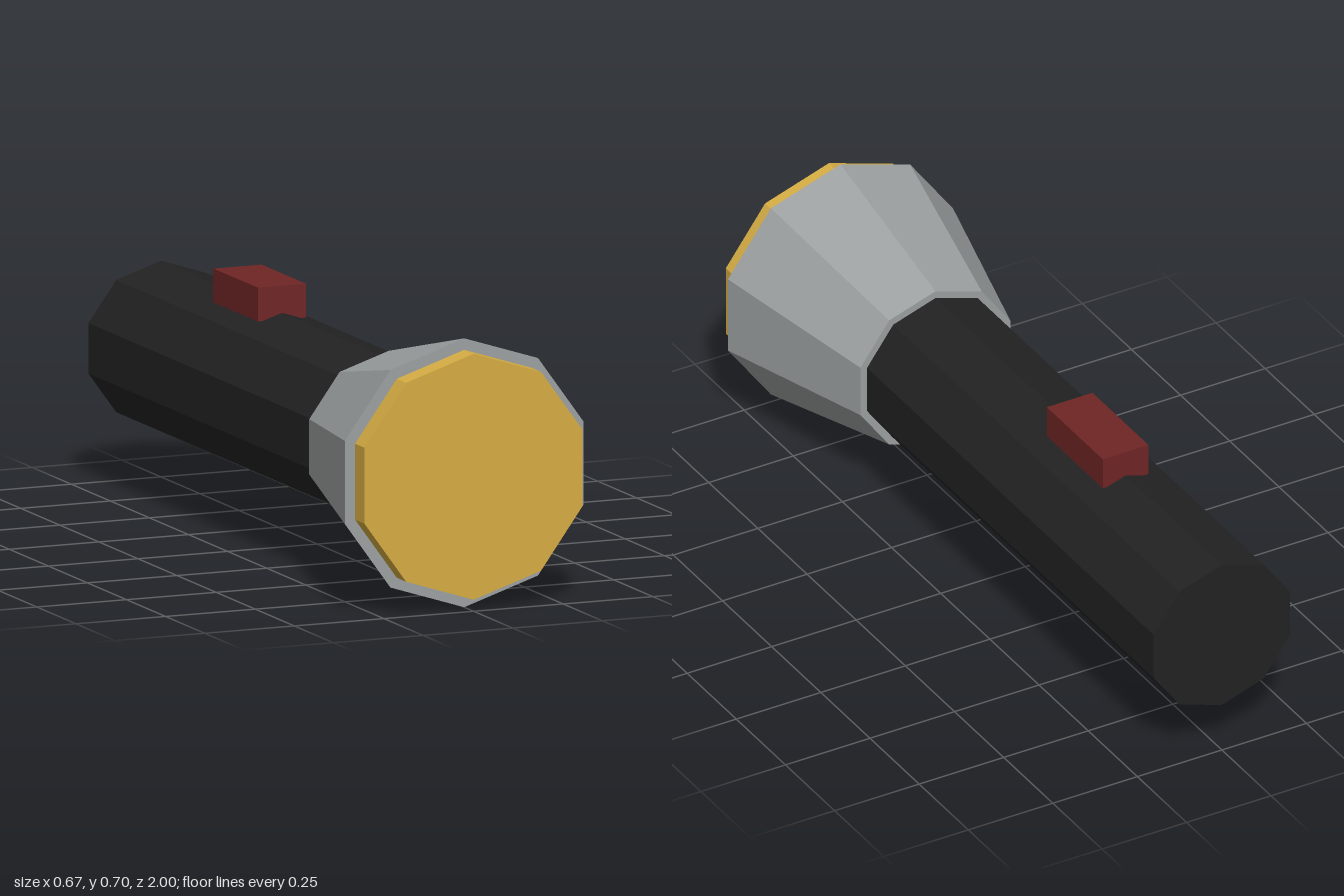
import * as THREE from 'three';

const SIDES = 10;
const AXIS_Y = 0.35;

function material(name, color) {
  const m = new THREE.MeshStandardMaterial({ color, flatShading: true });
  m.name = name;
  return m;
}

// Ten-sided section lying along z, with a ridge at the top
function section(name, rBack, rFront, zBack, zFront, mat) {
  const geo = new THREE.CylinderGeometry(rFront, rBack, zFront - zBack, SIDES);
  geo.rotateX(Math.PI / 2);
  const mesh = new THREE.Mesh(geo, mat);
  mesh.name = name;
  mesh.position.set(0, AXIS_Y, (zBack + zFront) / 2);
  return mesh;
}

export function createModel() {
  const black = material('black grip', 0x222222);
  const grey = material('grey metal', 0x9ca0a0);
  const amber = material('amber lens', 0xd6ad43);
  const red = material('dark red', 0x6f2424);

  const group = new THREE.Group();
  group.name = 'flashlight';

  // Handle, flared head and lens disc
  group.add(section('handle', 0.2125, 0.2125, -1, 0.47, black));
  group.add(section('head', 0.233, 0.35, 0.457, 0.94, grey));
  group.add(section('lens', 0.32, 0.32, 0.93, 1, amber));

  // Switch on top of the handle
  const button = new THREE.Mesh(new THREE.BoxGeometry(0.135, 0.088, 0.285), red);
  button.name = 'switch';
  button.position.set(0, 0.589, -0.368);
  group.add(button);

  return group;
}
